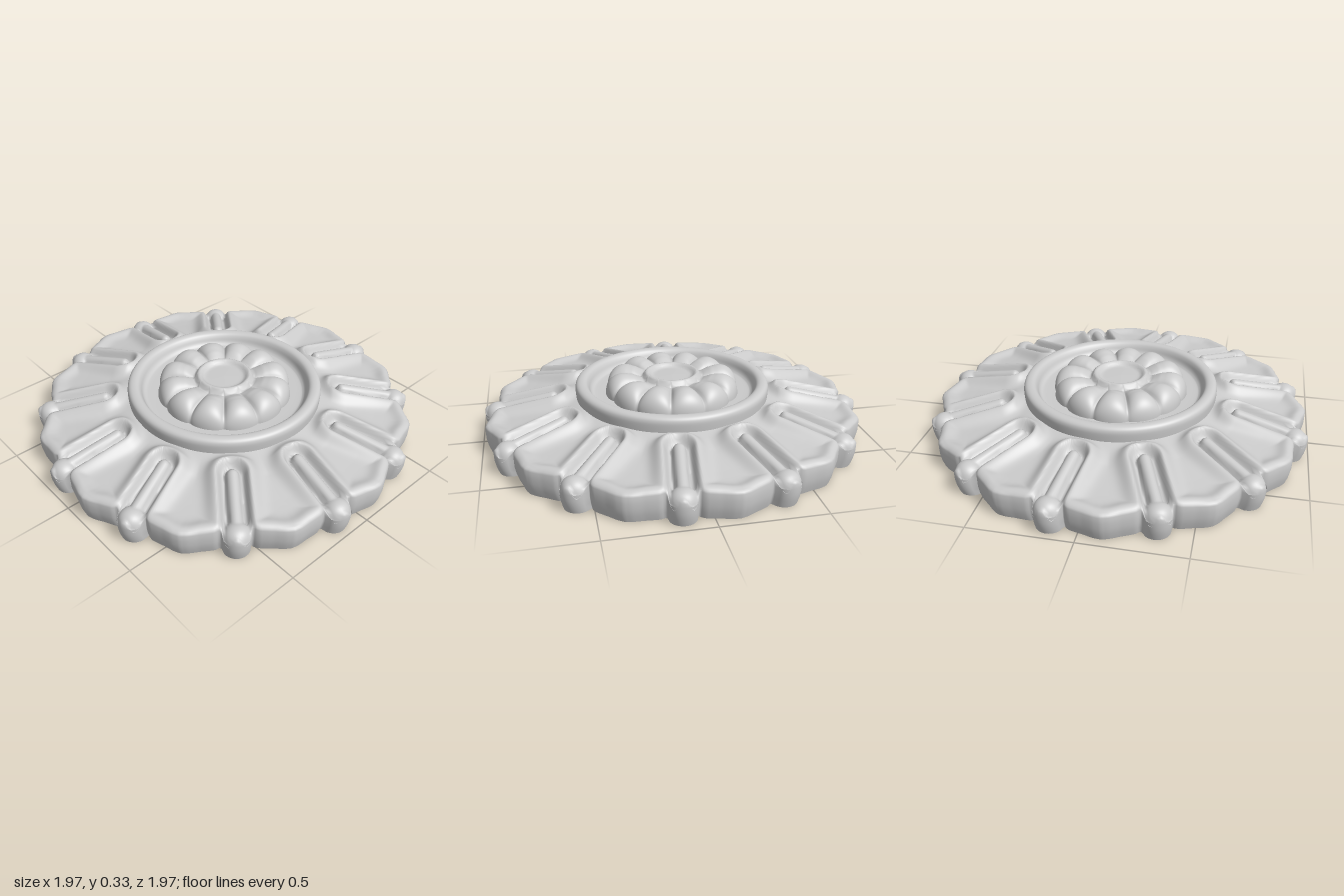
import * as THREE from 'three';

const STEP = Math.PI / 6;            // twelve petals, twelve knobs
const TURN = 8.5 * Math.PI / 180;    // direction of the first knob
const KNOB_R = 0.93, KNOB_SIZE = 0.067;
const { lerp, smoothstep, clamp } = THREE.MathUtils;

// signed angle to the nearest repeat of a twelvefold pattern
const fold = (a, start) => {
  const t = a - start;
  return t - Math.round(t / STEP) * STEP;
};

// piecewise linear lookup through [x, y] points
function ramp(x, pts) {
  if (x <= pts[0][0]) return pts[0][1];
  for (let i = 1; i < pts.length; i++) {
    const [x0, y0] = pts[i - 1], [x1, y1] = pts[i];
    if (x <= x1) return lerp(y0, y1, (x - x0) / (x1 - x0));
  }
  return pts[pts.length - 1][1];
}

// closed ring surface: f(row, angle) gives [radius, height]; rows run outward on top
function ringSurface(rows, cols, f) {
  const pos = [], idx = [];
  for (let i = 0; i <= rows; i++) {
    for (let j = 0; j < cols; j++) {
      const a = (j / cols) * Math.PI * 2;
      const [r, y] = f(i, a);
      pos.push(r * Math.cos(a), y, r * Math.sin(a));
      if (i === rows) continue;
      const k = (j + 1) % cols, p = i * cols, q = p + cols;
      idx.push(p + j, p + k, q + j, p + k, q + k, q + j);
    }
  }
  const g = new THREE.BufferGeometry();
  g.setAttribute('position', new THREE.Float32BufferAttribute(pos, 3));
  g.setIndex(idx);
  g.computeVertexNormals();
  return g;
}

// petal edge: pointed tip, rounded shoulders, notch beside the knob
function petalEdge(t) {
  const fromTip = 15 - Math.abs(t) * 180 / Math.PI;
  return ramp(fromTip, [[0, 0.983], [2, 0.977], [5, 0.96], [9, 0.945], [10.3, 0.932], [12, 0.9], [15, 0.87]]);
}

// outer contour of petals and knobs together
function contour(t) {
  const side = KNOB_R * Math.sin(t);
  const knob = Math.abs(side) < KNOB_SIZE
    ? KNOB_R * Math.cos(t) + Math.sqrt(KNOB_SIZE ** 2 - side ** 2) : 0;
  return Math.max(petalEdge(t), knob);
}

// height of the carved petals, tongues and knobs
function leafHeight(r, t) {
  const along = r * Math.cos(t), across = Math.abs(r * Math.sin(t));
  const d = Math.hypot(Math.max(0, 0.64 - along), across);
  const crest = ramp(r, [[0.47, 0.21], [0.52, 0.222], [0.57, 0.235], [0.75, 0.195], [0.96, 0.148]]);
  const floor = ramp(r, [[0.47, 0.212], [0.54, 0.195], [0.65, 0.168], [0.8, 0.146], [0.95, 0.128]]);
  // raised rim following the petal edge and looping round the tongue
  const m = Math.min(d - 0.08, petalEdge(t) - r - 0.025);
  let y = lerp(floor, crest, m > 0 ? Math.exp(-((m / 0.045) ** 2)) : 1);
  // groove with the tongue lying in it
  y -= 0.05 * smoothstep(0.08 - d, 0, 0.035);
  if (d < 0.034) y += 0.042 * Math.sqrt(1 - (d / 0.034) ** 2);
  // domed knob at the end of the tongue
  const k = Math.hypot(along - KNOB_R, across);
  if (k < KNOB_SIZE) y = Math.max(y, 0.095 + 0.06 * Math.sqrt(1 - (k / KNOB_SIZE) ** 2));
  return y - 0.018 * Math.exp(-Math.max(0, contour(t) - r) / 0.01);
}

// twelve beads around a dished hub
function rosette(i, a, rows) {
  const t = fold(a, -0.05) / (STEP / 2);
  const swell = Math.sqrt(1 - 0.96 * t * t);
  const R = 0.333 + 0.02 * swell;
  const r = R * Math.sin((i / rows) * Math.PI / 2);
  if (r < 0.155) {
    return [r, ramp(r, [[0, 0.298], [0.095, 0.296], [0.11, 0.3], [0.122, 0.315], [0.135, 0.318], [0.147, 0.31], [0.155, 0.288]])];
  }
  const crest = ramp(r, [[0.155, 0.288], [0.175, 0.3], [0.21, 0.317], [0.25, 0.325], [0.28, 0.326]]);
  const valley = ramp(r, [[0.155, 0.285], [0.2, 0.278], [0.28, 0.262]]);
  const roll = r > 0.26 ? Math.sqrt(clamp(1 - ((r - 0.26) / (R - 0.26)) ** 2, 0, 1)) : 1;
  return [r, lerp(0.21, lerp(valley, crest, swell), roll ** 0.8)];
}

export function createModel() {
  const group = new THREE.Group();
  const mat = new THREE.MeshStandardMaterial({ color: 0xcccccc });
  const add = (name, geometry) => {
    const mesh = new THREE.Mesh(geometry, mat);
    mesh.name = name;
    group.add(mesh);
  };

  // carved petal ring with its side wall
  const TOP = 64, wall = [[1, 0.1], [0.999, 0.07], [0.992, 0.035], [0.98, 0]];
  add('petalRing', ringSurface(TOP + wall.length, 600, (i, a) => {
    const t = fold(a, TURN), R = contour(t);
    if (i > TOP) {
      const [s, y] = wall[i - TOP - 1];
      return [R * s, y];
    }
    const u = i / TOP;
    const r = lerp(0.47, R, u + 0.25 * u * (1 - u));
    return [r, leafHeight(r, t)];
  }));

  // flat underside
  add('underside', ringSurface(1, 600, (i, a) => [i ? 0 : contour(fold(a, TURN)) * 0.98, 0]));

  // raised collar and the cup floor inside it
  const collar = [[0.505, 0.18], [0.51, 0.235], [0.509, 0.258], [0.502, 0.272], [0.488, 0.28], [0.468, 0.281],
    [0.452, 0.274], [0.441, 0.258], [0.432, 0.236], [0.42, 0.222], [0.4, 0.216], [0.32, 0.214]];
  const curve = new THREE.SplineCurve(collar.map(([x, y]) => new THREE.Vector2(x, y)));
  add('collar', new THREE.LatheGeometry(curve.getPoints(40).reverse(), 128).scale(1, 1, 1));
  group.children[group.children.length - 1].material = new THREE.MeshStandardMaterial({ color: 0xcccccc, side: THREE.DoubleSide });

  // beaded centre
  add('beadedRosette', ringSurface(56, 288, (i, a) => rosette(i, a, 56)));

  return group;
}
